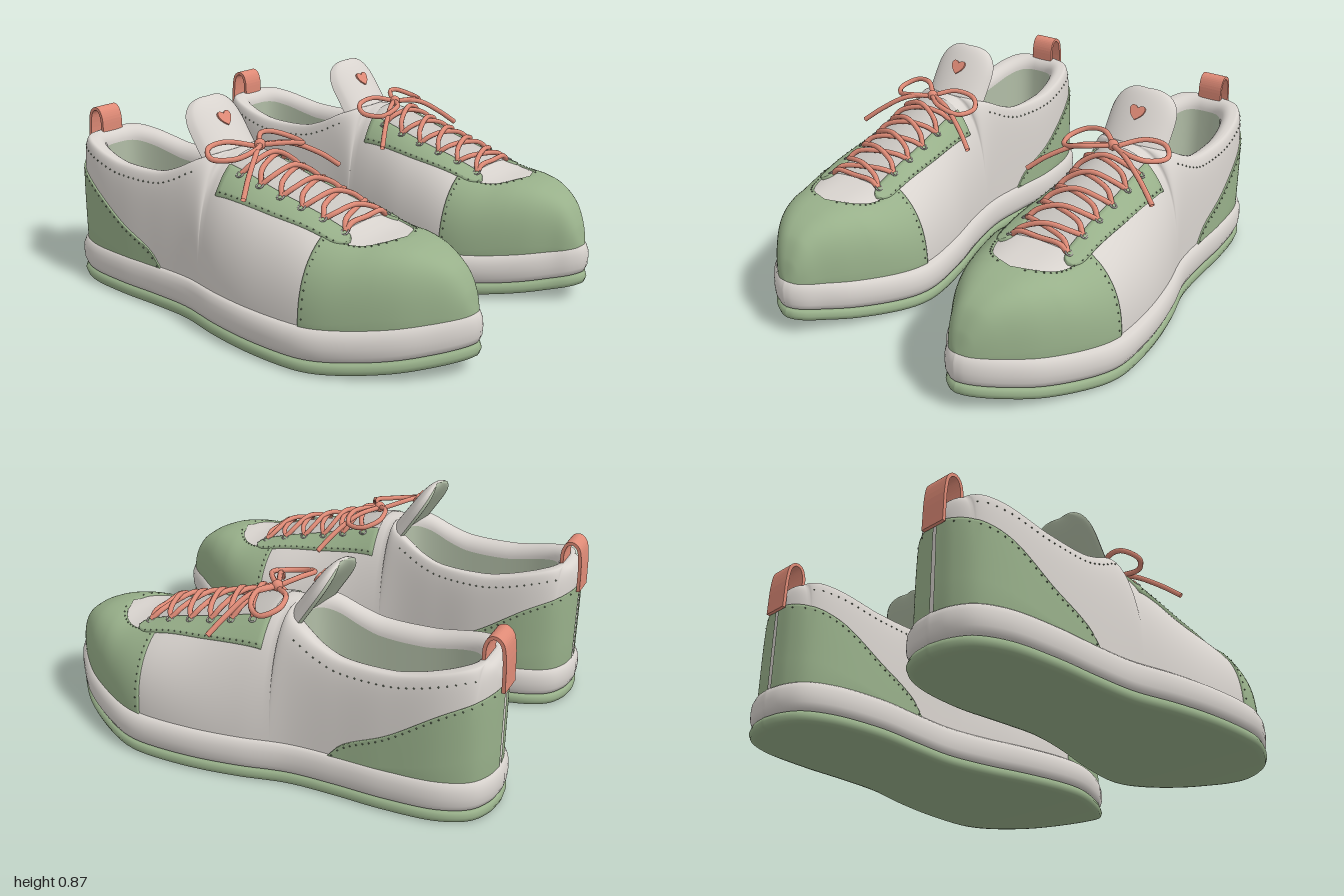
import * as THREE from 'three';
import { mergeGeometries, mergeVertices } from 'three/addons/utils/BufferGeometryUtils.js';

const V = (x, y, z) => new THREE.Vector3(x, y, z);
const { clamp, lerp, smoothstep } = THREE.MathUtils;
const HALF = Math.PI / 2;

const material = (name, color) => {
  const m = new THREE.MeshStandardMaterial({ color, side: THREE.DoubleSide });
  m.name = name;
  return m;
};

// Smooth curve through [x, y] pairs
const through = pts => x => {
  const n = pts.length - 1;
  if (x <= pts[0][0]) return pts[0][1];
  if (x >= pts[n][0]) return pts[n][1];
  const i = pts.findIndex((p, k) => k < n && x < pts[k + 1][0]);
  const slope = k => {
    const a = pts[Math.max(0, k - 1)], b = pts[Math.min(n, k + 1)];
    return (b[1] - a[1]) / (b[0] - a[0]);
  };
  const d = pts[i + 1][0] - pts[i][0], t = (x - pts[i][0]) / d, t2 = t * t, t3 = t2 * t;
  return (2 * t3 - 3 * t2 + 1) * pts[i][1] + (t3 - 2 * t2 + t) * d * slope(i)
    + (3 * t2 - 2 * t3) * pts[i + 1][1] + (t3 - t2) * d * slope(i + 1);
};

// Sheet of quads from fn(u, v)
function grid(fn, nu, nv, flip = false) {
  const pos = [], idx = [];
  for (let i = 0; i <= nu; i++) for (let j = 0; j <= nv; j++) pos.push(...fn(i / nu, j / nv).toArray());
  for (let i = 0; i < nu; i++) for (let j = 0; j < nv; j++) {
    const a = i * (nv + 1) + j, b = a + nv + 1, c = b + 1, d = a + 1;
    idx.push(...(flip ? [a, d, b, b, d, c] : [a, b, d, b, c, d]));
  }
  const g = new THREE.BufferGeometry();
  g.setAttribute('position', new THREE.Float32BufferAttribute(pos, 3));
  g.setIndex(idx);
  return g;
}
const both = make => [1, -1].map(make);
const weld = geoms => {
  const g = mergeVertices(mergeGeometries(geoms), 1e-5);
  g.computeVertexNormals();
  return g;
};

// Footprint: z, centre shift (outward is +), half width
const plan = new THREE.CatmullRomCurve3([
  [-0.99, 0, 0], [-0.975, 0, 0.09], [-0.93, 0, 0.17], [-0.82, 0, 0.23], [-0.6, 0, 0.26], [-0.4, 0.01, 0.255],
  [-0.2, 0.022, 0.257], [0, 0.03, 0.30], [0.2, 0.02, 0.345], [0.4, 0.007, 0.368], [0.5, 0.003, 0.362],
  [0.6, 0, 0.33], [0.8, -0.005, 0.22], [0.9, -0.015, 0.137], [0.96, -0.028, 0.08], [0.99, -0.034, 0.035],
  [1, -0.036, 0],
].map(([z, c, w]) => V(c, w, z)));
const planT = z => {
  let a = 0, b = 1;
  for (let i = 0; i < 30; i++) {
    const m = (a + b) / 2;
    if (plan.getPoint(m).z < z) a = m; else b = m;
  }
  return (a + b) / 2;
};

// Upper: each cross-section is a superellipse, opened by the collar
const K = 0.975;
const topY = through([[-0.965, 0.56], [-0.94, 0.62], [-0.9, 0.635], [-0.8, 0.615], [-0.7, 0.59], [-0.6, 0.573],
  [-0.4, 0.575], [-0.3, 0.605], [-0.2, 0.655], [-0.1, 0.685], [0, 0.67], [0.2, 0.6], [0.4, 0.535], [0.5, 0.5],
  [0.6, 0.478], [0.7, 0.475], [0.8, 0.455], [0.9, 0.40], [0.95, 0.32], [0.975, 0.23]]);
const squareness = through([[-0.97, 5], [-0.5, 3.2], [-0.1, 2.3], [0.2, 2.1], [0.5, 2.6], [0.7, 3], [0.97, 3]]);
const lift = z => 0.07 * Math.max(0, (z - 0.4) / 0.6) ** 2;
const oval = t => Math.cbrt(Math.max(0, 1 - Math.abs(t) ** 3));
const rim = z => 0.19 * oval((z + 0.515) / 0.395);
const section = z => {
  const p = plan.getPoint(planT(z / K));
  return { c: p.x, w: p.y * 0.9, r: rim(z), b: 0.15 + lift(z), h: topY(z), n: squareness(z) };
};
const surface = (z, phi, s, off = 0) => {
  const { c, w, r, b, h, n } = section(z);
  const co = Math.max(0, Math.cos(phi)), si = Math.sin(phi), ce = co ** (2 / n);
  const shift = c * lerp(ce, 1, smoothstep(z, 0.5, 0.9));
  return V(shift + s * (r + (w - r) * ce + off * co), b + (h - b) * si ** (2 / n) + off * si,
    z + off * Math.sign(z) * Math.abs(z) ** 12);
};
const phiAtY = (z, y) => { const q = section(z); return Math.asin(clamp((y - q.b) / (q.h - q.b), 0, 1) ** (q.n / 2)); };
const phiAtX = (z, x) => {
  const q = section(z);
  return Math.acos(clamp((x - q.r) / Math.max(1e-6, q.w - q.r), 0, 1) ** (q.n / 2));
};

// Panel lying on the upper, its edges tucked in
function patch(z0, z1, lo, hi, off, s, nu = 16, nv = 50) {
  const t0 = planT(z0 / K), t1 = planT(z1 / K);
  const inset = (q, n) => clamp((q * n - 1) / (n - 2), 0, 1);
  return grid((u, v) => {
    const z = K * plan.getPoint(lerp(t0, t1, inset(v, nv))).z;
    const phi = lerp(lo(z), hi(z), inset(u, nu));
    const edge = (u === 0 || u === 1) && phi < HALF - 0.01 || (v === 0 || v === 1) && Math.abs(z) < 0.95;
    return surface(z, phi, s, edge ? -0.003 : off);
  }, nu, nv, s < 0);
}

// Sole layer from an [inset, y] edge profile
function soleLayer(profile) {
  const rows = [[...profile[0], 0], ...profile.map(p => [...p, 1]), [...profile.at(-1), 0]];
  return weld(both(s => grid((u, v) => {
    const [inset, y, k] = rows[Math.round(u * (rows.length - 1))], p = plan.getPoint(v);
    return V(p.x + s * p.y * k * (1 - inset / 0.3), y + lift(p.z), p.z * (1 - inset));
  }, rows.length - 1, 110, s < 0)));
}

export function createModel() {
  const white = material('off white', 0xd8d3ce), green = material('sage green', 0x98b08a);
  const coral = material('coral', 0xde8a76), liningMat = material('pale sage', 0xb1bda6);
  const meshGrey = material('light grey mesh', 0xc8c4bf), thread = material('dark thread', 0x66735f);
  const metal = material('eyelet grey', 0xa5a29d);
  const parts = [];
  const add = (name, geometry, mat) => parts.push([name, geometry.index ? geometry : mergeVertices(geometry), mat]);

  // Sole
  add('midsole', soleLayer([[0.04, 0.045], [0.012, 0.055], [0.002, 0.08], [0, 0.11], [0.002, 0.14], [0.012, 0.165],
    [0.025, 0.175], [0.05, 0.178]]), white);
  add('outsole', soleLayer([[0.03, 0], [0.01, 0.005], [0.003, 0.025], [0.01, 0.045], [0.03, 0.052]]), green);

  // Upper shell, with stations matched to the collar opening
  const zs = [];
  const opening = (a, mid, half) => mid - half * Math.cos(a * Math.PI);
  const tHeel = planT(-0.91 / K), tThroat = planT(-0.12 / K);
  for (let i = 0; i < 14; i++) zs.push(K * plan.getPoint(tHeel * i / 14).z);
  for (let i = 0; i <= 40; i++) zs.push(opening(i / 40, -0.515, 0.395));
  for (let i = 1; i <= 70; i++) zs.push(K * plan.getPoint(lerp(tThroat, 1, i / 70)).z);
  add('upper', weld(both(s => grid((u, v) => surface(zs[Math.round(v * (zs.length - 1))], u * HALF, s),
    22, zs.length - 1, s < 0))), white);

  // Padded collar, lining and insole
  const ring = (a, s) => {
    const z = opening(a, -0.515, 0.395), zi = opening(a, -0.505, 0.355);
    return { outer: V(s * rim(z), topY(z), z), inner: V(s * 0.138 * oval((zi + 0.505) / 0.355), topY(z) - 0.06, zi) };
  };
  add('collar', weld(both(s => grid((u, v) => {
    const { outer, inner } = ring(v, s), k = Math.sin(u * HALF);
    return V(lerp(outer.x, inner.x, k), outer.y - 0.06 * (1 - Math.cos(u * HALF)), lerp(outer.z, inner.z, k));
  }, 8, 40, s < 0))), white);
  add('lining', weld(both(s => grid((u, v) => {
    const { inner } = ring(v, s);
    return V(inner.x, lerp(inner.y, 0.2, u), inner.z);
  }, 5, 40, s < 0))), liningMat);
  add('insole', weld(both(s => grid((u, v) => {
    const { inner } = ring(v, s);
    return V(inner.x * (1 - u), 0.2, inner.z);
  }, 2, 40, s < 0))), liningMat);

  // Toe cap, heel counter, eyelet stays and throat
  const vampX = z => z < 0.5 ? 0.175 : 0.175 * Math.sqrt(Math.max(0, 1 - ((z - 0.5) / 0.19) ** 2));
  const capEdge = z => z > 0.69 ? HALF : phiAtX(z, vampX(z));
  add('toeCap', weld(both(s => patch(0.45, 0.975, () => 0, capEdge, 0.007, s, 18, 64))), green);
  const counterY = through([[-0.97, 0.53], [-0.8, 0.455], [-0.6, 0.325], [-0.42, 0.235], [-0.36, 0.17]]);
  add('heelCounter', weld(both(s => patch(-0.965, -0.36, () => 0, z => phiAtY(z, counterY(z)), 0.007, s))), green);
  const stayHalf = z => 0.038 * Math.sqrt(Math.max(0, 1 - Math.max(0, (z - 0.48) / 0.07) ** 2));
  const stayX = (z, k) => phiAtX(z, 0.152 + k * stayHalf(z));
  add('eyeletStays', weld(both(s => patch(-0.06, 0.55, z => stayX(z, 1), z => stayX(z, -1), 0.011, s, 8, 40))), green);
  add('throat', weld(both(s => patch(-0.06, 0.5, z => phiAtX(z, 0.12), () => HALF, 0.004, s, 8, 30))), meshGrey);

  // Stitching along the seams
  const dots = [];
  const seam = (z0, z1, n, phi, off) => both(s => {
    for (let i = 0; i <= n; i++) {
      const z = lerp(z0, z1, i / n), p = surface(z, phi(z), s, off);
      dots.push(new THREE.OctahedronGeometry(0.0045).translate(p.x, p.y, p.z));
    }
  });
  seam(-0.95, -0.38, 22, z => phiAtY(z, counterY(z) - 0.015), 0.007);
  seam(-0.9, -0.2, 24, z => phiAtY(z, topY(z) - 0.045), 0);
  seam(0.52, 0.69, 9, z => phiAtX(z, vampX(z - 0.012)), 0.007);
  seam(-0.04, 0.5, 18, z => stayX(z, 0.85), 0.011);
  both(s => {
    for (let i = 1; i < 12; i++) {
      const p = surface(0.465, capEdge(0.465) * i / 12, s, 0.007);
      dots.push(new THREE.OctahedronGeometry(0.0045).translate(p.x, p.y, p.z));
    }
  });
  add('stitching', mergeGeometries(dots), thread);

  // Tongue with a heart patch
  const tongue = side => (u, q) => {
    const v = Math.sin(q * HALF), U = 2 * u - 1;
    const w = 0.153 * (1 - Math.max(0, (v - 0.55) / 0.45) ** 2.4) ** (1 / 2.4);
    const d = side * 0.026 * Math.sqrt(Math.max(0, 1 - U ** 6)) * Math.sqrt(Math.max(0, 1 - v ** 8));
    return V(w * U, 0.6 + 0.27 * v - 0.02 * U * U * (1 - v) + 0.575 * d, -0.1 - 0.19 * v - 0.04 * U * U * (w / 0.153) + 0.82 * d);
  };
  add('tongueFront', weld([grid(tongue(1), 24, 20)]), white);
  add('tongueBack', weld([grid(tongue(-1), 24, 20, true)]), liningMat);
  const heart = new THREE.Shape();
  heart.moveTo(0, -0.034);
  heart.bezierCurveTo(0.06, 0.005, 0.03, 0.05, 0, 0.018);
  heart.bezierCurveTo(-0.03, 0.05, -0.06, 0.005, 0, -0.034);
  add('heartPatch', new THREE.ExtrudeGeometry(heart, { depth: 0.009, bevelEnabled: false })
    .translate(0, 0, -0.003).rotateX(-0.61).translate(0, 0.79, -0.202), coral);

  // Laces, eyelets and bow
  const tube = (pts, n = 24) => new THREE.TubeGeometry(new THREE.CatmullRomCurve3(pts), n, 0.011, 8);
  const onTop = (x, z, off) => surface(z, phiAtX(z, Math.abs(x)), Math.sign(x) || 1, off);
  const rows = [0.51, 0.41, 0.31, 0.21, 0.11, 0.01], laces = [], eyelets = [];
  const strand = (s, za, zb, rise) => tube([0.125, 0.09, 0, -0.09, -0.125].map((x, i) =>
    onTop(s * x, lerp(za, zb, i / 4), [0.008, 0.026, rise, 0.026, 0.008][i])));
  laces.push(strand(1, 0.51, 0.51, 0.022));
  rows.forEach((z, i) => both(s => {
    if (i) laces.push(strand(s, rows[i - 1], z, s > 0 ? 0.028 : 0.044));
    const p = onTop(s * 0.13, z, 0.012);
    eyelets.push(new THREE.TorusGeometry(0.014, 0.004, 6, 12).rotateX(-HALF).rotateZ(-s * 0.5).translate(p.x, p.y, p.z));
  }));
  const bow = [
    [[0, 0.70, -0.02], [0.1, 0.725, -0.11], [0.18, 0.715, -0.125], [0.222, 0.69, -0.07], [0.17, 0.69, 0.005],
      [0.08, 0.71, 0.03], [0, 0.71, -0.01]],
    [[0, 0.71, -0.02], [-0.08, 0.73, -0.08], [-0.17, 0.715, -0.09], [-0.22, 0.69, -0.03], [-0.19, 0.685, 0.05],
      [-0.1, 0.71, 0.065], [0, 0.71, -0.01]],
    [[0, 0.71, -0.02], [0.1, 0.70, 0.05], [0.2, 0.64, 0.1], [0.275, 0.58, 0.14]],
    [[0, 0.71, -0.02], [-0.12, 0.70, 0.04], [-0.24, 0.64, 0.1], [-0.315, 0.58, 0.14]],
  ];
  bow.forEach(b => laces.push(tube(b.map(p => V(...p)), 40)));
  laces.push(new THREE.SphereGeometry(0.024, 12, 8).translate(0, 0.71, -0.015));
  add('laces', mergeGeometries(laces), coral);
  add('eyelets', mergeGeometries(eyelets), metal);

  // Heel pull tab: a ribbon loop
  const loop = new THREE.CatmullRomCurve3([[-0.893, 0.62], [-0.896, 0.69], [-0.912, 0.722], [-0.935, 0.728],
    [-0.958, 0.71], [-0.97, 0.66], [-0.976, 0.515]].map(([z, y]) => V(z, y, 0)));
  const side = k => Array.from({ length: 31 }, (_, i) => {
    const p = loop.getPoint(i / 30), t = loop.getTangent(i / 30);
    return new THREE.Vector2(p.x - t.y * k, p.y + t.x * k);
  });
  add('pullTab', new THREE.ExtrudeGeometry(new THREE.Shape([...side(0.007), ...side(-0.007).reverse()]),
    { depth: 0.11, bevelEnabled: false }).translate(0, 0, -0.055).rotateY(-HALF), coral);

  // Left shoe and its mirror image
  const model = new THREE.Group();
  model.name = 'pairOfSneakers';
  for (const s of [1, -1]) {
    const shoe = new THREE.Group();
    shoe.name = s > 0 ? 'leftShoe' : 'rightShoe';
    for (const [name, geometry, mat] of parts) {
      const g = geometry.clone().translate(0.47, 0, 0);
      if (s < 0) { g.scale(-1, 1, 1); g.index.array.reverse(); }
      const mesh = new THREE.Mesh(g, mat);
      mesh.name = name;
      shoe.add(mesh);
    }
    model.add(shoe);
  }
  return model;
}
